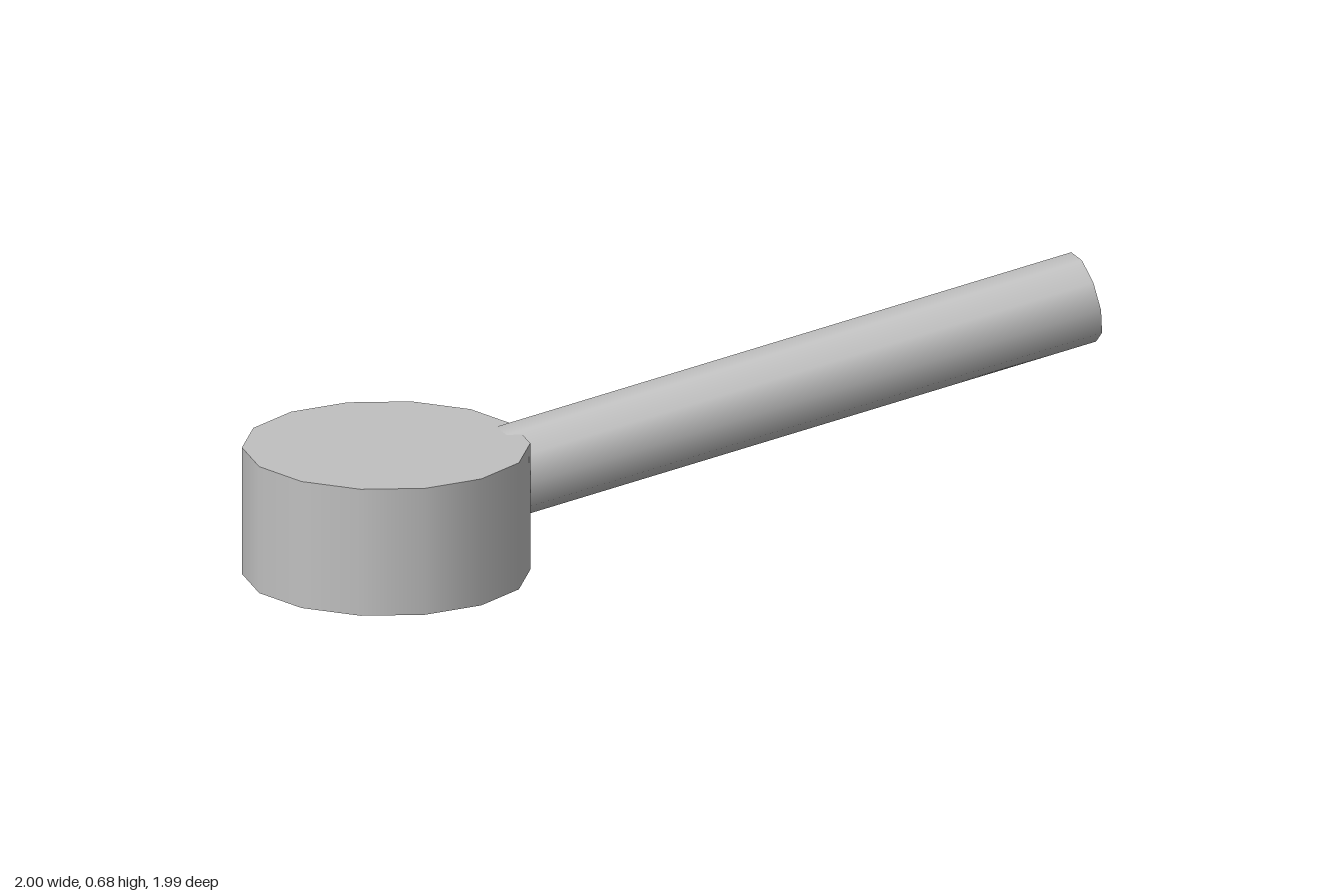
import * as THREE from 'three';

export function createModel() {
  const model = new THREE.Group();
  const grey = new THREE.MeshStandardMaterial({ color: 0xc0c0c0, side: THREE.DoubleSide });
  grey.name = 'light grey';

  // Closed fourteen-sided drum with corners on its x axis
  const height = 0.375;
  const drum = new THREE.Mesh(
    new THREE.CylinderGeometry(0.407, 0.407, height, 14, 1, false, Math.PI / 2), grey);
  drum.name = 'drumBase';
  drum.position.set(-0.593, height / 2, 0.598);
  model.add(drum);

  // Open ten-sided tube rising diagonally from the middle of the drum
  const start = drum.position;
  const end = new THREE.Vector3(0.907, 0.557, -0.902);
  const span = end.clone().sub(start);
  const tilt = Math.asin(span.y / span.length());
  const tubeGeometry = new THREE.CylinderGeometry(0.131, 0.131, span.length(), 10, 1, true);
  tubeGeometry.rotateZ(tilt - Math.PI / 2);
  tubeGeometry.rotateY(Math.atan2(-span.z, span.x));
  const tube = new THREE.Mesh(tubeGeometry, grey);
  tube.name = 'handleTube';
  tube.position.copy(start).add(end).multiplyScalar(0.5);
  model.add(tube);

  return model;
}
